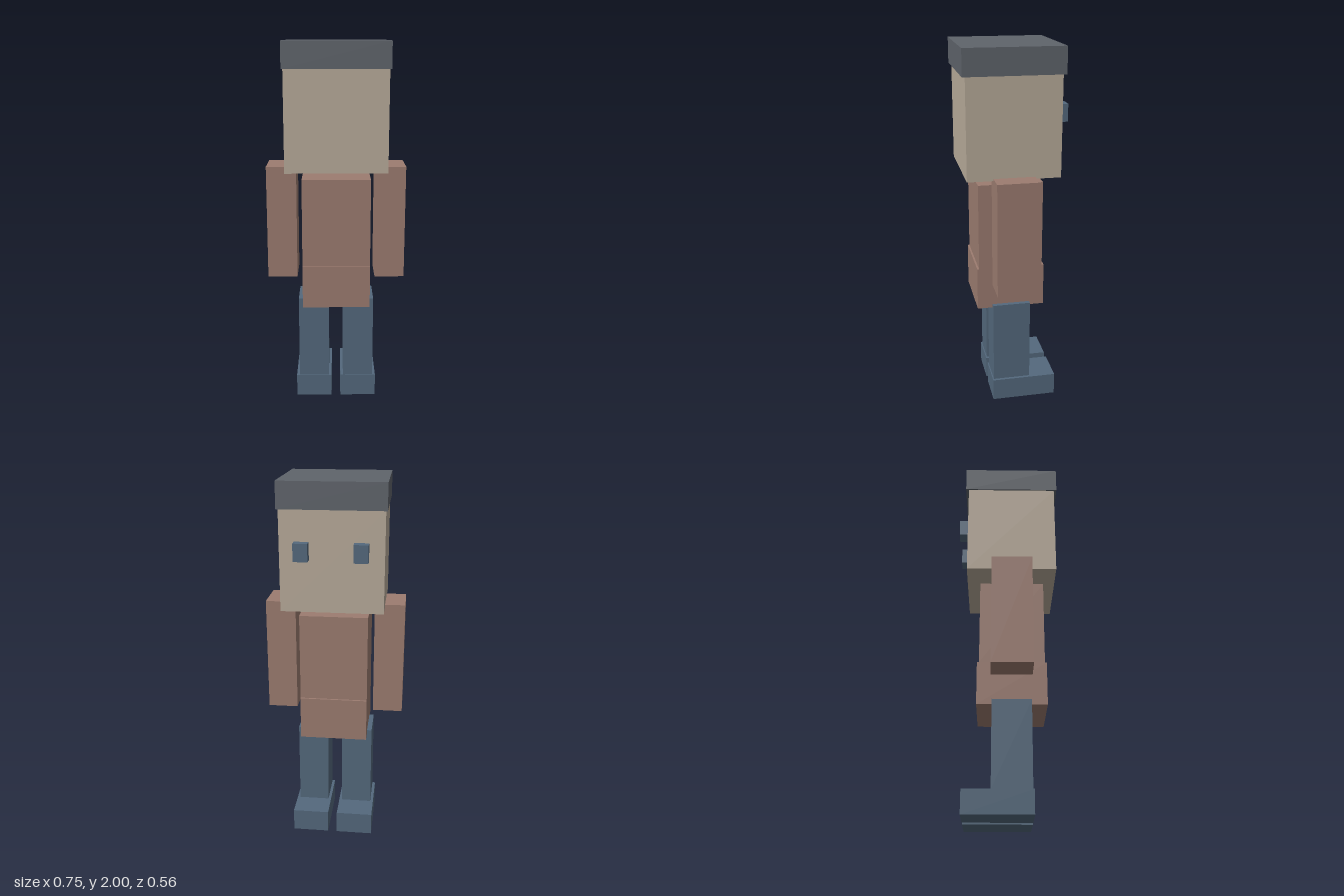
import * as THREE from 'three';

const material = (name, color) => {
  const m = new THREE.MeshStandardMaterial({ color });
  m.name = name;
  return m;
};

// Box given by its [min, max] extent on each axis
function block(name, mat, [x0, x1], [y0, y1], [z0, z1]) {
  const mesh = new THREE.Mesh(new THREE.BoxGeometry(x1 - x0, y1 - y0, z1 - z0), mat);
  mesh.position.set((x0 + x1) / 2, (y0 + y1) / 2, (z0 + z1) / 2);
  mesh.name = name;
  return mesh;
}

export function createModel() {
  const skin = material('skin', 0xb8ab9a);
  const shirt = material('shirt', 0x9c7c70);
  const denim = material('blue', 0x54697d);
  const felt = material('hat grey', 0x5f646b);

  const model = new THREE.Group();
  model.name = 'blockFigure';

  // Head, cap and body
  model.add(
    block('hat', felt, [-0.278, 0.276], [1.862, 2], [-0.246, 0.278]),
    block('head', skin, [-0.27, 0.268], [1.333, 1.862], [-0.23, 0.263]),
    block('torso', shirt, [-0.185, 0.183], [0.81, 1.286], [-0.156, 0.194]),
    block('hips', shirt, [-0.185, 0.183], [0.573, 0.81], [-0.167, 0.204])
  );

  // Paired parts; the right side sits slightly further out
  for (const [side, s, shift] of [['left', 1, 0], ['right', -1, -0.004]]) {
    const span = (a, b) => [s * a + shift, s * b + shift].sort((p, q) => p - q);
    const eyeSpan = [s * 0.115, s * 0.19].sort((p, q) => p - q);
    model.add(
      block(side + 'Eye', denim, eyeSpan, [1.607, 1.7], [-0.28, -0.23]),
      block(side + 'Arm', shirt, span(0.212, 0.374), [0.726, 1.344], [-0.093, 0.126]),
      block(side + 'Leg', denim, span(0.038, 0.207), [0.125, 0.593], [-0.087, 0.121]),
      block(side + 'Foot', denim, span(0.023, 0.223), [0, 0.125], [-0.233, 0.127])
    );
  }
  return model;
}
